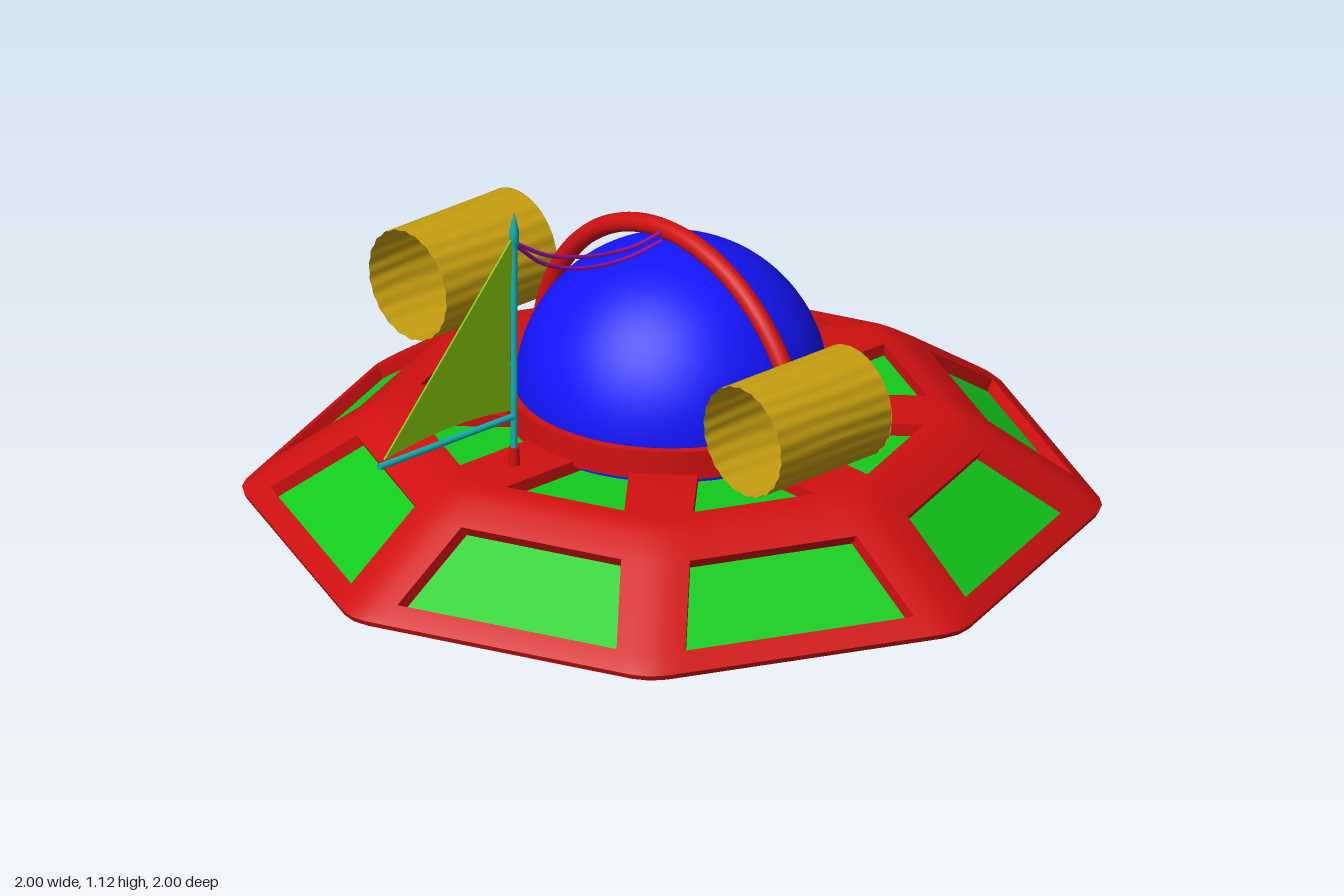
import * as THREE from 'three';
import { toCreasedNormals } from 'three/addons/utils/BufferGeometryUtils.js';

const mat = (color, side = THREE.FrontSide) => {
  const m = new THREE.MeshStandardMaterial({ side });
  m.color.set(color);
  return m;
};
const red = mat(0xd01010), green = mat(0x12cc1c), blue = mat(0x1414ff);
const gold = mat(0xc8a010, THREE.DoubleSide), teal = mat(0x10b0b0);
const lime = mat(0x84c40c), purple = mat(0xa010a0);

function add(parent, name, geometry, material, x = 0, y = 0, z = 0) {
  const mesh = new THREE.Mesh(geometry, material);
  mesh.name = name;
  mesh.position.set(x, y, z);
  parent.add(mesh);
  return mesh;
}

// Hull profile at a spoke: radius, height. Panels name the interval they fill
// and the direction in which they are recessed.
const PROFILE = [
  [0.3, 0.48], [0.623, 0.48], [0.66, 0.476], [0.7, 0.461], [0.763, 0.42], [0.963, 0.283],
  [0.995, 0.26], [1.009, 0.247], [1.003, 0.234], [0.985, 0.23], [0.96, 0.23], [0.3, 0.23],
];
const PANELS = { 0: [0, -0.03], 4: [-0.017, -0.025], 10: [0, 0.03] };

// Octagonal saucer: red frame with recessed green panels
function addHull(parent) {
  const frame = [], panels = [];
  const quad = (out, a, b, c, d) => out.push(...a, ...b, ...c, ...a, ...c, ...d);
  const lateral = [0, 0.04, 0.08]; // distance from the spoke
  const h = Math.SQRT1_2;

  // column 0-2 belongs to one spoke, 3-5 mirrors it at the next spoke
  const point = (sector, [r, y], col, [dr, dy] = [0, 0]) => {
    const s = lateral[col < 3 ? col : 5 - col];
    let x = r + dr - (s ? s * Math.tan(Math.PI / 8) : 0.009), z = s;
    if (col > 2) [x, z] = [(x + z) * h, (x - z) * h];
    const a = (sector * Math.PI) / 4;
    return [x * Math.cos(a) - z * Math.sin(a), y + dy, x * Math.sin(a) + z * Math.cos(a)];
  };

  for (let k = 0; k < 8; k++) {
    for (let i = 0; i < PROFILE.length - 1; i++) {
      for (let j = 0; j < 5; j++) {
        const corners = [[i, j], [i, j + 1], [i + 1, j + 1], [i + 1, j]];
        const outer = corners.map(([p, c]) => point(k, PROFILE[p], c));
        if (j !== 2 || !PANELS[i]) {
          quad(frame, ...outer);
          continue;
        }
        const inner = corners.map(([p, c]) => point(k, PROFILE[p], c, PANELS[i]));
        quad(panels, ...inner);
        for (let e = 0; e < 4; e++) {
          const f = (e + 1) % 4;
          quad(frame, outer[e], outer[f], inner[f], inner[e]);
        }
      }
    }
  }
  const build = (positions) => {
    const g = new THREE.BufferGeometry();
    g.setAttribute('position', new THREE.Float32BufferAttribute(positions, 3));
    return toCreasedNormals(g, 0.6);
  };
  add(parent, 'hullFrame', build(frame), red);
  add(parent, 'hullPanels', build(panels), green);
}

// Fluted barrel along x, open towards -x and closed at +x
function addBarrel(parent, name, z) {
  const barrel = new THREE.Group();
  barrel.name = name;
  barrel.position.set(-0.122, 0.673, z);
  const wall = new THREE.CylinderGeometry(0.134, 0.134, 0.345, 96, 6, true);
  const p = wall.attributes.position;
  for (let i = 0; i < p.count; i++) {
    const a = Math.atan2(p.getZ(i), p.getX(i));
    const k = 1 + 0.014 * Math.sin(22 * a + 0.5 * Math.sin(p.getY(i) * 18 + 3 * a));
    p.setXYZ(i, p.getX(i) * k, p.getY(i), p.getZ(i) * k);
  }
  wall.computeVertexNormals();
  wall.rotateZ(-Math.PI / 2);
  add(barrel, 'barrelWall', wall, gold);
  add(barrel, 'barrelEnd', new THREE.CircleGeometry(0.136, 48).rotateY(Math.PI / 2), gold, 0.172);
  parent.add(barrel);
}

// Mast, boom and sail
function addSail(parent) {
  const rig = new THREE.Group();
  rig.name = 'sailRig';
  const x = -0.493;
  add(rig, 'mastFoot', new THREE.CylinderGeometry(0.012, 0.014, 0.05, 16), red, x, 0.5);
  add(rig, 'mast', new THREE.CylinderGeometry(0.008, 0.008, 0.57, 16), teal, x, 0.785);
  const tip = [[0, -0.03], [0.011, -0.025], [0.011, 0.015], [0, 0.06]].map((q) => new THREE.Vector2(...q));
  add(rig, 'mastTip', new THREE.LatheGeometry(tip, 16), teal, x, 1.065);
  add(rig, 'boom', new THREE.CylinderGeometry(0.008, 0.008, 0.425, 16).rotateZ(Math.PI / 2), teal, x - 0.21, 0.604);

  const outline = new THREE.Shape();
  outline.moveTo(-0.9, 0.618);
  outline.quadraticCurveTo(-0.68, 0.655, -0.505, 0.622);
  outline.quadraticCurveTo(-0.515, 0.85, -0.497, 1.065);
  outline.quadraticCurveTo(-0.69, 0.85, -0.9, 0.618);
  const cloth = new THREE.ExtrudeGeometry(outline, { depth: 0.005, bevelEnabled: false, curveSegments: 12 });
  add(rig, 'sail', cloth, lime, 0, 0, -0.0025);
  parent.add(rig);
}

// Sagging line between the masthead and the arch
function addRope(parent, name, points) {
  const curve = new THREE.CatmullRomCurve3(points.map((q) => new THREE.Vector3(...q)));
  add(parent, name, new THREE.TubeGeometry(curve, 32, 0.005, 8), purple);
}

export function createModel() {
  const model = new THREE.Group();
  model.name = 'flyingSaucer';
  addHull(model);

  // Round cabin through the hull, with its collar
  add(model, 'cabin', new THREE.CapsuleGeometry(0.365, 0.16, 24, 64), blue, 0, 0.447);
  add(model, 'collar', new THREE.CylinderGeometry(0.386, 0.388, 0.07, 64), red, 0, 0.502);

  // Arch over the cabin from front to back
  const arch = new THREE.TorusGeometry(0.457, 0.023, 16, 64, Math.PI).rotateY(Math.PI / 2);
  add(model, 'arch', arch, red, 0, 0.465);

  addBarrel(model, 'frontBarrel', 0.572);
  addBarrel(model, 'backBarrel', -0.59);
  addSail(model);
  addRope(model, 'upperRope', [[-0.49, 1.045, 0], [-0.38, 0.978, -0.003], [-0.23, 0.93, -0.008], [-0.1, 0.914, -0.012], [-0.01, 0.925, -0.015]]);
  addRope(model, 'lowerRope', [[-0.49, 1.04, 0], [-0.39, 0.958, -0.008], [-0.26, 0.905, -0.015], [-0.12, 0.885, -0.022], [-0.01, 0.892, -0.026]]);
  return model;
}
